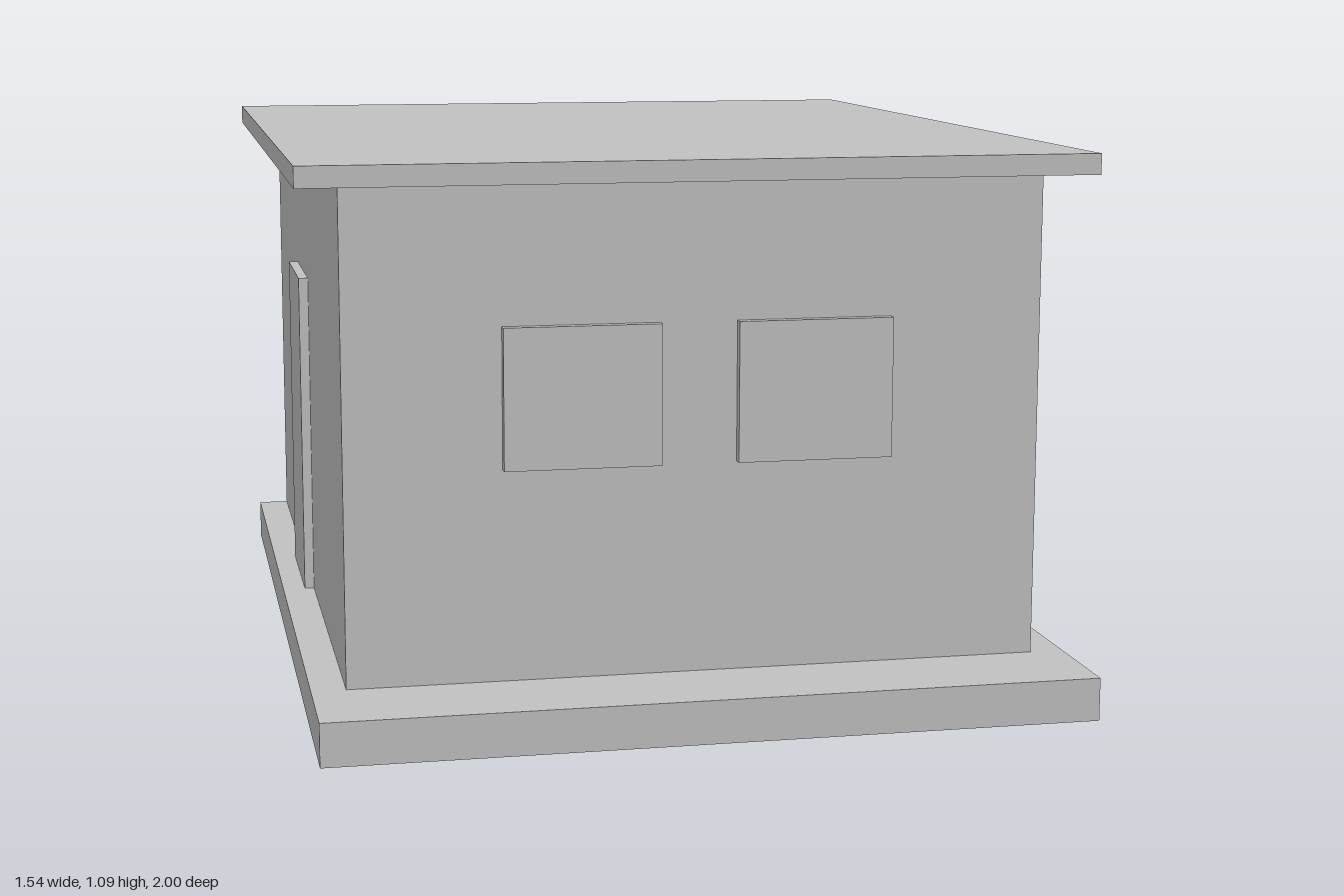
import * as THREE from 'three';

const grey = new THREE.MeshStandardMaterial({ color: 0xc0c0c0 });
grey.name = 'plain grey';

// Box given by its minimum and maximum corners
function block(name, [x0, y0, z0], [x1, y1, z1]) {
  const geometry = new THREE.BoxGeometry(x1 - x0, y1 - y0, z1 - z0);
  const mesh = new THREE.Mesh(geometry, grey);
  mesh.name = name;
  mesh.position.set((x0 + x1) / 2, (y0 + y1) / 2, (z0 + z1) / 2);
  return mesh;
}

export function createModel() {
  const house = new THREE.Group();
  house.name = 'house';

  const slabTop = 0.085, wallTop = 1.045;
  const wallX = 0.683, wallFront = 0.797, wallBack = -0.912;
  const sill = 0.498, head = 0.772, relief = 0.02;

  // Base slab, with a step at the front and sides and flush at the back
  house.add(block('baseSlab', [-0.75, 0, wallBack], [0.75, slabTop, 1]));

  // Main body
  house.add(block('walls', [-wallX, slabTop, wallBack], [wallX, wallTop, wallFront]));

  // Flat overhanging roof
  house.add(block('roof', [-0.768, wallTop, -1], [0.768, 1.086, 0.88]));

  // Pair of front windows
  for (const [side, x0, x1] of [['Left', 0.075, 0.38], ['Right', -0.38, -0.075]]) {
    house.add(block('frontWindow' + side, [x0, sill, wallFront], [x1, head, wallFront + relief]));
  }

  // Pair of side windows on the +x wall
  for (const [end, z0, z1] of [['Front', 0.075, 0.382], ['Back', -0.498, -0.19]]) {
    house.add(block('sideWindow' + end, [wallX, sill, z0], [wallX + relief, head, z1]));
  }

  // Door on the -x wall
  house.add(block('door', [-wallX - relief, slabTop, -0.308], [-wallX, head, 0]));

  return house;
}
